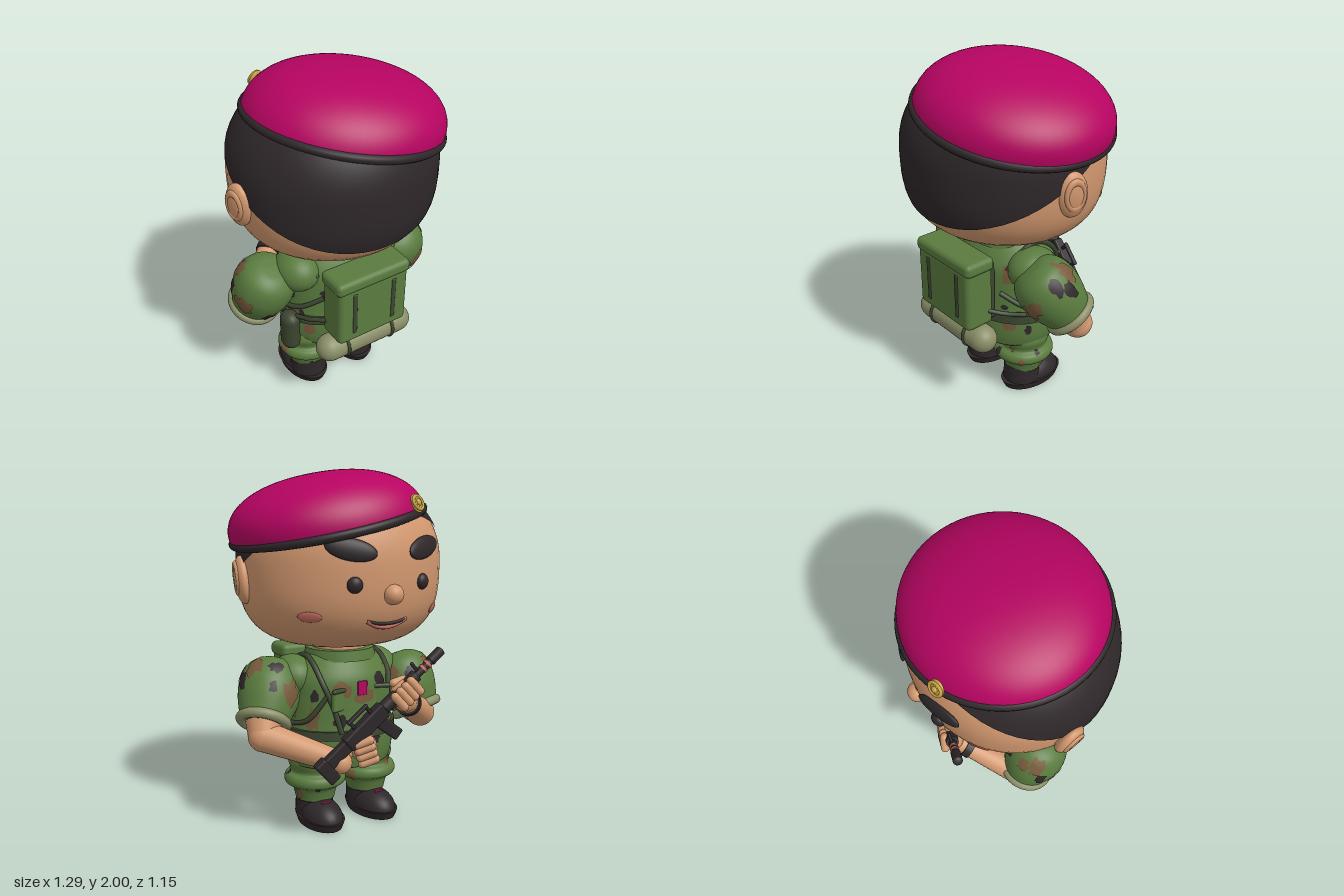
import * as THREE from 'three';
import { mergeVertices } from 'three/addons/utils/BufferGeometryUtils.js';
import { RoundedBoxGeometry } from 'three/addons/geometries/RoundedBoxGeometry.js';

const V = (x, y, z) => new THREE.Vector3(x, y, z);
const UP = V(0, 1, 0);
const mat = (name, color) => Object.assign(new THREE.MeshStandardMaterial({ color }), { name });

export function createModel() {
  const skin = mat('skin', 0xd2986f), magenta = mat('magenta', 0xb60461), black = mat('black', 0x2e2729);
  const green = mat('green', 0x5a7b3f), olive = mat('olive', 0x8b8f68), darkGreen = mat('darkGreen', 0x3b4630);
  const gold = mat('gold', 0xcaa545), brown = mat('brown', 0x775a3b), pink = mat('pink', 0xc46c60);
  const root = new THREE.Group();
  let seed = 7;
  const rand = () => (seed = (seed * 16807) % 2147483647) / 2147483647;

  const add = (parent, name, geo, m, x = 0, y = 0, z = 0) => {
    const mesh = new THREE.Mesh(geo, m);
    mesh.name = name;
    mesh.position.set(x, y, z);
    parent.add(mesh);
    return mesh;
  };
  const group = (name, parent = root) => {
    const g = new THREE.Group();
    g.name = name;
    parent.add(g);
    return g;
  };
  const ball = (parent, name, m, p, sx, sy, sz) => {
    const b = add(parent, name, new THREE.SphereGeometry(1, 28, 18), m, p.x, p.y, p.z);
    b.scale.set(sx, sy, sz);
    return b;
  };
  const box = (parent, name, m, x, y, z, w, h, d, r = 0.012) =>
    add(parent, name, new RoundedBoxGeometry(w, h, d, 3, Math.min(r, w / 2.1, h / 2.1, d / 2.1)), m, x, y, z);
  const tube = (parent, name, m, pts, r) =>
    add(parent, name, new THREE.TubeGeometry(new THREE.CatmullRomCurve3(pts), 40, r, 8), m);
  // Tapered limb from a to b
  const limb = (parent, name, m, a, b, ra, rb) => {
    const d = b.clone().sub(a);
    const c = add(parent, name, new THREE.CylinderGeometry(rb, ra, d.length(), 24), m);
    c.position.copy(a).addScaledVector(d, 0.5);
    c.quaternion.setFromUnitVectors(UP, d.normalize());
  };
  // Moves every vertex by a rule and rebuilds smooth normals
  const reshape = (geo, rule) => {
    geo.deleteAttribute('uv');
    geo.deleteAttribute('normal');
    const g = mergeVertices(geo, 1e-4), p = g.attributes.position, d = V();
    for (let i = 0; i < p.count; i++) {
      rule(d.fromBufferAttribute(p, i));
      p.setXYZ(i, d.x, d.y, d.z);
    }
    g.computeVertexNormals();
    return g;
  };

  // Round cloth part turned from a profile; returns its surface function
  const cloth = (parent, name, profile, zScale = 1) => {
    const spline = new THREE.CatmullRomCurve3(profile.map(([r, y]) => V(r, y, 0))).getPoints(40);
    const pts = [V(0, spline[0].y, 0), ...spline, V(0, spline[40].y, 0)].map(p => new THREE.Vector2(Math.max(p.x, 0), p.y));
    add(parent, name, new THREE.LatheGeometry(pts, 48), green).scale.z = zScale;
    return (phi, y, off = 0) => {
      let i = 1;
      while (i < 40 && pts[i + 1].y < y) i++;
      const k = THREE.MathUtils.clamp((y - pts[i].y) / (pts[i + 1].y - pts[i].y || 1), 0, 1);
      const r = THREE.MathUtils.lerp(pts[i].x, pts[i + 1].x, k) + off;
      return V(r * Math.sin(phi), y, r * Math.cos(phi) * zScale);
    };
  };
  // Irregular camouflage blot hugging a cloth surface
  const blot = (parent, surf, phi, y, s, m) => {
    const n = 14, rings = 3, c = surf(phi, y, 0.005), r0 = Math.hypot(c.x, c.z), pos = c.toArray(), idx = [];
    const edge = Array.from({ length: n }, () => s * (0.6 + 0.6 * rand()));
    const tall = 0.8 + rand() * 0.7;
    for (let k = 1; k <= rings; k++) for (let i = 0; i < n; i++) {
      const a = (i / n) * Math.PI * 2, e = edge[i] * k / rings;
      pos.push(...surf(phi + e * Math.cos(a) / r0, y + e * Math.sin(a) * tall, 0.005).toArray());
      const j = (i + 1) % n, o = 1 + (k - 1) * n, q = o - n;
      if (k === 1) idx.push(0, o + i, o + j);
      else idx.push(q + i, o + i, o + j, q + i, o + j, q + j);
    }
    const g = new THREE.BufferGeometry();
    g.setAttribute('position', new THREE.Float32BufferAttribute(pos, 3));
    g.setIndex(idx);
    g.computeVertexNormals();
    add(parent, 'camouflageBlot', g, m);
  };
  const scatter = (parent, surf, count, y0, y1, s) => {
    for (let i = 0; i < count; i++)
      blot(parent, surf, i * 2.4 + rand() * 0.5, y0 + (y1 - y0) * rand(), s * (0.65 + 0.6 * rand()) * (i % 2 ? 0.85 : 1.2), i % 2 ? black : brown);
  };

  // Head: squashed ball, boxier below the middle
  const head = group('head');
  const H = V(-0.013, 1.5, 0.02), R = V(0.574, 0.47, 0.545);
  const power = y => (y < 0 ? 3.1 : 2.1);
  const headShell = (geo, k) => reshape(geo, d => {
    const e = power(d.y), q = Math.hypot(d.x / R.x, d.z / R.z);
    d.multiplyScalar(k / (q ** e + Math.abs(d.y / R.y) ** e) ** (1 / e)).add(H);
  });
  add(head, 'face', headShell(new THREE.SphereGeometry(1, 56, 40), 1), skin);
  add(head, 'hair', headShell(new THREE.SphereGeometry(1, 56, 28, 0, Math.PI * 2, 0, Math.PI / 2).rotateX(Math.PI / 6), 1.014), black);
  // Point and outward normal on the front of the face
  const onFace = (x, y) => {
    const dx = x - H.x, dy = y - H.y, e = power(dy);
    const q2 = (1 - Math.abs(dy / R.y) ** e) ** (2 / e);
    const dz = -R.z * Math.sqrt(Math.max(q2 - (dx / R.x) ** 2, 0));
    const f = q2 ** (e / 2 - 1);
    const n = V(f * dx / R.x ** 2, Math.sign(dy) * Math.abs(dy) ** (e - 1) / R.y ** e, f * dz / R.z ** 2).normalize();
    return { p: V(x, y, H.z + dz), n };
  };
  const feature = (name, m, x, y, sx, sy, sz, turn = 0) => {
    const { p, n } = onFace(x, y), b = ball(head, name, m, p, sx, sy, sz);
    b.lookAt(p.clone().add(n));
    b.rotateZ(turn);
  };
  for (const s of [-1, 1]) {
    feature('eye', black, s * 0.205 - 0.015, 1.41, 0.041, 0.042, 0.03);
    feature('eyebrow', black, s * 0.22 - 0.015, 1.585, 0.135, 0.057, 0.024, -s * 0.2);
    feature('cheek', pink, s * 0.38 - 0.01, 1.245, 0.065, 0.03, 0.009);
    const ear = group('ear', head);
    ear.position.set(s * 0.576 - 0.02, 1.41, 0.06);
    ear.rotation.set(0.12, -s * 0.25, -s * 0.06);
    ball(ear, 'earShell', skin, V(0, 0, 0), 0.046, 0.13, 0.085);
    const rim = add(ear, 'earRim', new THREE.TorusGeometry(0.05, 0.014, 10, 28), skin, s * 0.03, 0.01, 0);
    rim.rotation.y = Math.PI / 2;
    rim.scale.y = 1.5;
  }
  ball(head, 'nose', skin, V(-0.02, 1.355, -0.52), 0.055, 0.053, 0.053);
  const smile = (dy, out) => [-0.12, -0.06, 0, 0.06, 0.12].map(x => {
    const { p, n } = onFace(x - 0.01, 1.203 + 1.3 * x * x + dy * (1 - (x / 0.12) ** 2));
    return p.addScaledVector(n, out);
  });
  tube(head, 'mouth', black, smile(0, 0.001), 0.009);
  tube(head, 'lowerLip', pink, smile(-0.02, 0), 0.012);

  // Beret tilted to one side, its crown leaning over
  const beret = group('beret');
  beret.position.set(0.06, 1.695, 0.015);
  beret.rotation.z = -0.213;
  add(beret, 'crown', reshape(new THREE.SphereGeometry(1, 56, 28, 0, Math.PI * 2, 0, Math.PI / 2), d => {
    const k = 1 / (Math.hypot(d.x, d.z) ** 2.25 + Math.max(d.y, 0) ** 2.25) ** (1 / 2.25);
    d.set(d.x * k * 0.55 + d.y * k * 0.05, d.y * k * 0.29, d.z * k * 0.522);
  }), magenta);
  const brim = add(beret, 'brim', new THREE.TorusGeometry(1, 0.045, 12, 64), black);
  brim.rotation.x = Math.PI / 2;
  brim.scale.set(0.536, 0.517, 0.55);
  const badge = group('badge');
  badge.position.set(-0.205, 1.81, -0.45);
  badge.lookAt(-0.5, 2.2, -1.3);
  ball(badge, 'badgeDisc', gold, V(0, 0, 0), 0.045, 0.052, 0.016);
  add(badge, 'badgeRing', new THREE.TorusGeometry(0.037, 0.009, 8, 24), gold, 0, 0, 0.01);
  ball(badge, 'badgeStud', gold, V(0, 0, 0.012), 0.018, 0.02, 0.014);

  // Torso
  const body = group('torso');
  body.position.x = -0.005;
  add(body, 'neck', new THREE.CylinderGeometry(0.15, 0.16, 0.16, 32), skin, 0, 1.01, 0);
  const torso = cloth(body, 'jacket', [[0.305, 0.36], [0.32, 0.42], [0.325, 0.52], [0.315, 0.62], [0.31, 0.75], [0.3, 0.86], [0.25, 0.94], [0.205, 0.985]], 0.8);
  add(body, 'collar', new THREE.CylinderGeometry(0.195, 0.205, 0.06, 40), green, 0, 0.985, 0);
  scatter(body, torso, 34, 0.4, 0.9, 0.036);
  const belt = add(body, 'belt', new THREE.CylinderGeometry(0.337, 0.34, 0.05, 48), darkGreen, 0, 0.555, 0);
  belt.scale.z = 0.8;
  for (const s of [-1, 1]) {
    const strap = list => list.map(([a, y]) => torso(s * a, y, 0.012));
    tube(body, 'shoulderStrap', darkGreen, strap([[2.75, 0.57], [2.6, 0.72], [2.4, 0.85], [2.05, 0.95], [1.57, 0.98], [1.1, 0.95], [0.75, 0.86]]), 0.016);
    tube(body, 'sideStrap', darkGreen, strap([[0.6, 0.72], [1.1, 0.64], [1.57, 0.61], [2.1, 0.64], [2.5, 0.78]]), 0.014);
    const pocket = box(body, 'chestPocket', green, s * 0.13, 0.75, -0.226, 0.11, 0.11, 0.03);
    pocket.rotation.y = s * 0.3;
    const flap = box(body, 'pocketFlap', darkGreen, s * 0.13, 0.81, -0.234, 0.12, 0.025, 0.03);
    flap.rotation.y = s * 0.3;
  }
  box(body, 'chestPatch', magenta, 0, 0.815, -0.252, 0.06, 0.08, 0.009);
  const pouch = add(body, 'sidePouch', new THREE.CapsuleGeometry(0.055, 0.15, 6, 18), darkGreen, -0.35, 0.485, 0.1);
  pouch.scale.z = 1.2;

  // Backpack and bedroll
  const pack = group('backpack');
  pack.position.set(-0.02, 0, 0.37);
  box(pack, 'packBody', green, 0, 0.755, 0, 0.45, 0.37, 0.18, 0.03);
  box(pack, 'packLid', green, 0, 0.95, 0, 0.475, 0.08, 0.19, 0.03);
  box(pack, 'packBackPad', darkGreen, 0, 0.74, -0.11, 0.36, 0.36, 0.06);
  add(pack, 'bedroll', new THREE.CapsuleGeometry(0.08, 0.46, 10, 28), olive, 0, 0.5, -0.005).rotation.z = Math.PI / 2;
  for (const s of [-1, 1]) {
    box(pack, 'packStrap', darkGreen, s * 0.127, 0.765, 0.086, 0.028, 0.27, 0.018, 0.006);
    add(pack, 'bedrollStrap', new THREE.TorusGeometry(0.08, 0.01, 8, 32), darkGreen, s * 0.15, 0.5, -0.005).rotation.y = Math.PI / 2;
    tube(pack, 'packSideStrap', darkGreen, [V(s * 0.2, 0.66, -0.04), V(s * 0.27, 0.63, -0.13), V(s * 0.31, 0.59, -0.25)], 0.013);
  }

  // Legs and boots
  for (const s of [-1, 1]) {
    const leg = group(s > 0 ? 'leftLeg' : 'rightLeg');
    leg.position.set(s * 0.172 - 0.018, 0, 0.01);
    const surf = cloth(leg, 'trouserLeg', [[0.112, 0.135], [0.12, 0.17], [0.135, 0.21], [0.172, 0.235], [0.178, 0.26], [0.168, 0.285], [0.142, 0.305], [0.155, 0.36], [0.14, 0.42]]);
    scatter(leg, surf, 9, 0.17, 0.36, 0.024);
    const boot = group('boot', leg);
    boot.rotation.y = -s * 0.05;
    add(boot, 'sole', new THREE.CylinderGeometry(1, 0.9, 0.045, 40), black, 0, 0.0225, -0.06).scale.set(0.125, 1, 0.208);
    add(boot, 'bootShaft', new THREE.CylinderGeometry(0.108, 0.112, 0.12, 32), black, 0, 0.095, 0.01);
    add(boot, 'bootToe', new THREE.SphereGeometry(1, 32, 14, 0, Math.PI * 2, 0, Math.PI / 2), black, 0, 0.04, -0.08).scale.set(0.113, 0.108, 0.172);
    const lace = box(boot, 'lace', magenta, 0, 0.141, -0.142, 0.06, 0.009, 0.014);
    lace.rotation.x = -0.25;
  }

  // Arms: sleeve, rolled cuff, forearm
  const arm = (name, shoulder, cuff, elbow, wrist) => {
    const g = group(name), sleeve = group('sleeve', g), dir = shoulder.clone().sub(cuff), L = dir.length();
    ball(g, 'shoulder', green, V(Math.sign(shoulder.x) * 0.27, 0.86, 0.05), 0.13, 0.12, 0.15);
    sleeve.position.copy(cuff);
    sleeve.quaternion.setFromUnitVectors(UP, dir.normalize());
    const surf = cloth(sleeve, 'sleeveCloth', [[0.13, 0], [0.148, L * 0.16], [0.17, L * 0.42], [0.176, L * 0.7], [0.15, L * 1.0], [0.09, L * 1.16], [0.02, L * 1.2]]);
    scatter(sleeve, surf, 13, 0.06, L * 0.9, 0.044);
    const roll = add(sleeve, 'cuff', new THREE.TorusGeometry(0.127, 0.029, 12, 40), olive);
    roll.rotation.x = Math.PI / 2;
    limb(g, 'upperArm', skin, cuff, elbow, 0.1, 0.085);
    ball(g, 'elbow', skin, elbow, 0.086, 0.086, 0.086);
    limb(g, 'forearm', skin, elbow, wrist, 0.085, 0.06);
    ball(g, 'wrist', skin, wrist, 0.062, 0.062, 0.062);
    return g;
  };
  arm('leftArm', V(0.36, 0.88, 0.11), V(0.49, 0.64, -0.03), V(0.51, 0.57, -0.07), V(0.19, 0.45, -0.35));
  const e = V(-0.48, 0.59, -0.14), w = V(-0.19, 0.75, -0.4);
  const rightArm = arm('rightArm', V(-0.425, 0.87, 0.02), V(-0.48, 0.61, -0.1), e, w);
  const at = k => e.clone().lerp(w, k);
  limb(rightArm, 'watchBand', black, at(0.8), at(0.9), 0.074, 0.072);

  // Rifle held across the body: local x runs from stock to muzzle
  const rifle = group('rifle');
  const butt = V(0.32, 0.42, -0.36), d = V(-0.36, 1.02, -0.47).sub(butt).normalize();
  const side = d.clone().cross(V(0.66, 0.75, 0)).normalize();
  rifle.quaternion.setFromRotationMatrix(new THREE.Matrix4().makeBasis(d, side.clone().cross(d), side));
  rifle.position.copy(butt);
  const rod = (name, m, x0, x1, r) =>
    add(rifle, name, new THREE.CylinderGeometry(r, r, x1 - x0, 18), m, (x0 + x1) / 2, 0, 0).rotation.z = Math.PI / 2;
  box(rifle, 'stock', black, 0.03, -0.025, 0, 0.07, 0.15, 0.055);
  box(rifle, 'stockArm', black, 0.13, 0, 0, 0.18, 0.075, 0.045);
  box(rifle, 'receiver', black, 0.34, 0, 0, 0.28, 0.09, 0.06);
  box(rifle, 'carryHandle', black, 0.35, 0.09, 0, 0.15, 0.02, 0.025);
  for (const x of [0.29, 0.41]) box(rifle, 'handlePost', black, x, 0.065, 0, 0.02, 0.06, 0.022);
  box(rifle, 'grip', black, 0.25, -0.09, 0, 0.05, 0.13, 0.04).rotation.z = -0.3;
  box(rifle, 'magazine', black, 0.43, -0.11, 0, 0.07, 0.16, 0.04).rotation.z = 0.2;
  rod('handguard', black, 0.48, 0.73, 0.036);
  rod('barrel', black, 0.72, 0.9, 0.022);
  for (const x of [0.775, 0.81]) rod('barrelRing', pink, x, x + 0.016, 0.026);
  rod('muzzle', black, 0.84, 0.92, 0.028);
  ball(rifle, 'muzzleTip', black, V(0.92, 0, 0), 0.012, 0.028, 0.028);
  box(rifle, 'frontSight', black, 0.75, 0.045, 0, 0.02, 0.07, 0.015);

  // Hands with curled fingers
  const hand = (name, x, y, z, tilt) => {
    const g = group(name, rifle);
    g.position.set(x, y, z);
    g.rotation.z = tilt;
    ball(g, 'palm', skin, V(0, -0.02, -0.01), 0.088, 0.075, 0.06);
    for (let i = 0; i < 4; i++) {
      const f = add(g, 'finger', new THREE.CapsuleGeometry(0.025, 0.075, 6, 12), skin, -0.06 + i * 0.04, -0.005, 0.045);
      f.rotation.x = -0.25;
    }
    const thumb = add(g, 'thumb', new THREE.CapsuleGeometry(0.024, 0.06, 6, 12), skin, 0.02, 0.045, -0.03);
    thumb.rotation.z = 1.1;
  };
  hand('supportHand', 0.62, -0.01, 0, 0);
  hand('gripHand', 0.245, -0.1, -0.025, 1.2);

  return root;
}
